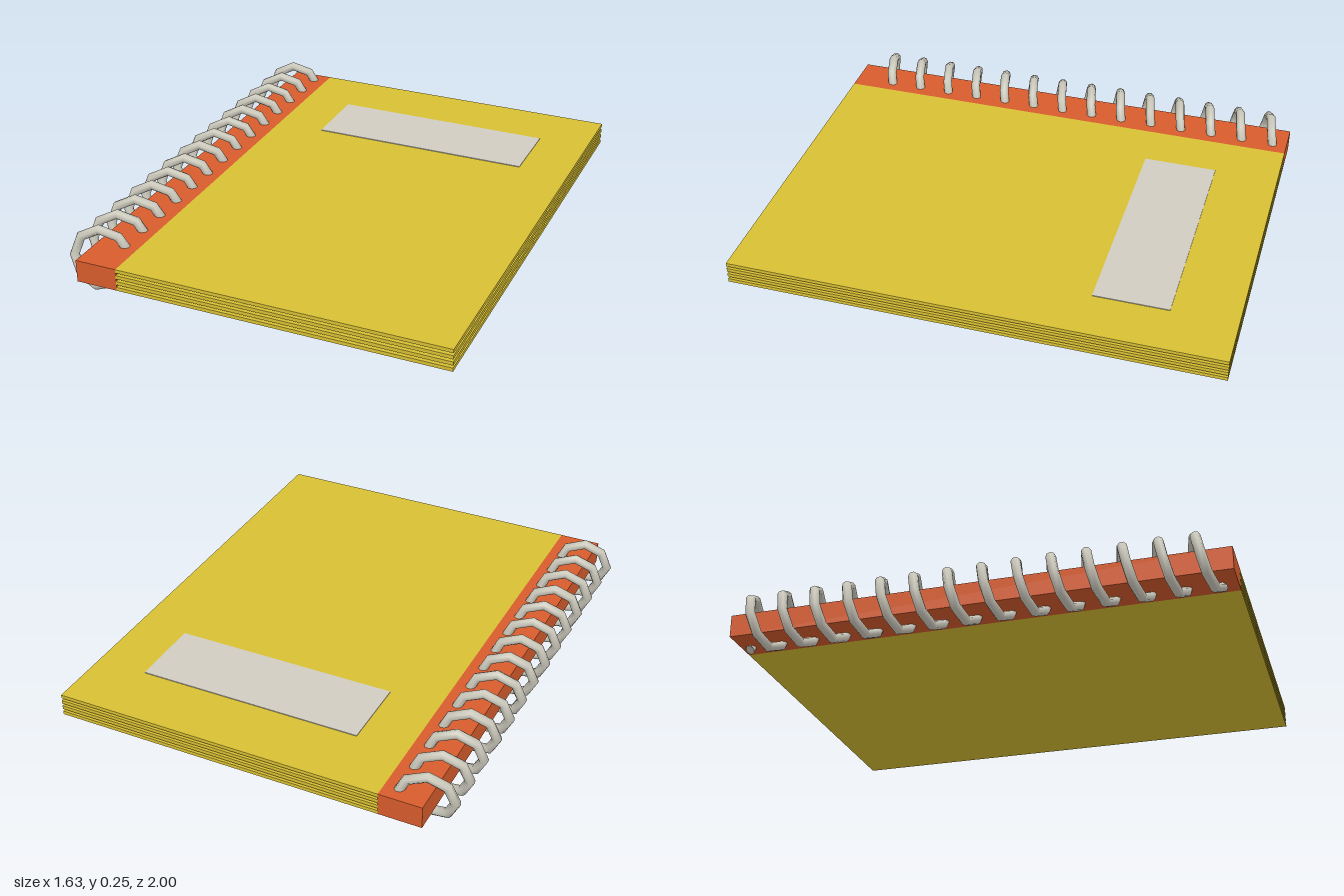
import * as THREE from 'three';

const yellow = new THREE.MeshStandardMaterial({ color: 0xd8c034 });
const orange = new THREE.MeshStandardMaterial({ color: 0xd85c2c });
const labelGrey = new THREE.MeshStandardMaterial({ color: 0xd0ccc2 });
const wireGrey = new THREE.MeshStandardMaterial({ color: 0xccc9bc });
yellow.name = 'cover yellow';
orange.name = 'spine orange';
labelGrey.name = 'label grey';
wireGrey.name = 'wire grey';

const BOTTOM = 0.07, TOP = 0.163;      // thickness of the closed book
const SPINE_LEFT = -0.72, SPINE_RIGHT = -0.545, EDGE = 0.815;

// Helix running along z, starting at the lower right of the ring
class CoilCurve extends THREE.Curve {
  constructor(turns) {
    super();
    this.turns = turns;
    this.arcLengthDivisions = 1120;
  }
  getPoint(t, target = new THREE.Vector3()) {
    const turn = t * this.turns;
    const a = THREE.MathUtils.degToRad(-41) + turn * Math.PI * 2;
    return target.set(-0.693 + 0.105 * Math.cos(a), 0.125 + 0.105 * Math.sin(a), -0.962 + 0.136 * turn);
  }
}

// Box given by its minimum and maximum corners
function box(name, material, [x0, y0, z0], [x1, y1, z1]) {
  const mesh = new THREE.Mesh(new THREE.BoxGeometry(x1 - x0, y1 - y0, z1 - z0), material);
  mesh.position.set((x0 + x1) / 2, (y0 + y1) / 2, (z0 + z1) / 2);
  mesh.name = name;
  return mesh;
}

export function createModel() {
  const model = new THREE.Group();
  model.name = 'spiralNotebook';

  model.add(box('spine', orange, [SPINE_LEFT, BOTTOM, -1], [SPINE_RIGHT, TOP, 1]));

  // Four leaves with slightly recessed page blocks between them
  const leaves = 4, thick = 0.015;
  const step = (TOP - BOTTOM - thick) / (leaves - 1);
  for (let i = 0; i < leaves; i++) {
    const y = BOTTOM + i * step;
    const name = i === 0 ? 'backCover' : i === leaves - 1 ? 'frontCover' : 'leaf';
    model.add(box(name, yellow, [SPINE_RIGHT, y, -1], [EDGE, y + thick, 1]));
    if (i < leaves - 1) {
      model.add(box('pageBlock', yellow, [SPINE_RIGHT, y + thick, -0.98], [EDGE - 0.015, y + step, 0.98]));
    }
  }

  // Title label on the front cover
  model.add(box('label', labelGrey, [-0.335, TOP, -0.735], [0.6, TOP + 0.003, -0.43]));

  // Binding wire, eight straight pieces per turn
  const turns = 14, radius = 0.02;
  const curve = new CoilCurve(turns);
  const coil = new THREE.Group();
  coil.name = 'coil';
  const wire = new THREE.Mesh(new THREE.TubeGeometry(curve, turns * 8, radius, 8, false), wireGrey);
  wire.name = 'wire';
  coil.add(wire);
  for (const t of [0, 1]) {
    const cap = new THREE.Mesh(new THREE.CircleGeometry(radius, 8), wireGrey);
    const end = curve.getPointAt(t);
    cap.position.copy(end);
    cap.lookAt(end.clone().addScaledVector(curve.getTangentAt(t), t ? 1 : -1));
    cap.name = 'wireEnd';
    coil.add(cap);
  }
  model.add(coil);

  return model;
}
